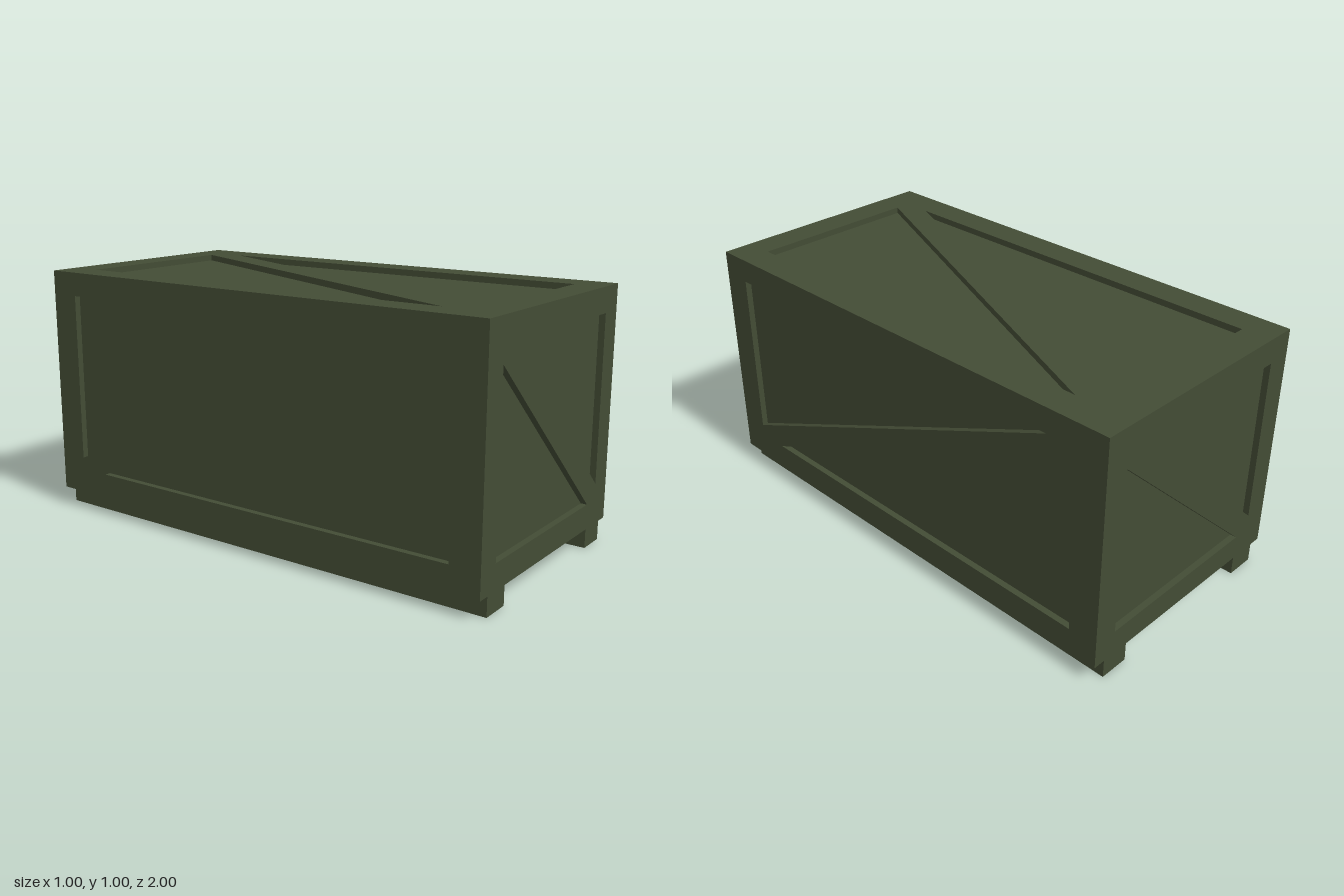
import * as THREE from 'three';

const DEPTH = 0.025; // how far the panels are recessed
const BASE = 0.075; // underside of the crate body

export function createModel() {
  const crate = new THREE.Group();
  crate.name = 'crate';
  const paint = new THREE.MeshStandardMaterial({ color: 0x434c35, side: THREE.DoubleSide });
  paint.name = 'olivePaint';

  const points = (list) => list.map(([x, y]) => new THREE.Vector2(x, y));

  // A rectangular frame with a diagonal brace, cut by two triangular openings
  function bracedFrame(name, x, bottom, top, openings) {
    const shape = new THREE.Shape(points([[-x, bottom], [x, bottom], [x, top], [-x, top]]));
    shape.holes = openings.map((o) => new THREE.Path(points(o)));
    const geometry = new THREE.ExtrudeGeometry(shape, { depth: DEPTH, bevelEnabled: false });
    const mesh = new THREE.Mesh(geometry, paint);
    mesh.name = name;
    crate.add(mesh);
    return mesh;
  }

  // Inner box that shows through the openings
  const height = 1 - DEPTH - BASE;
  const core = new THREE.Mesh(new THREE.BoxGeometry(1 - 2 * DEPTH, height, 2 - 2 * DEPTH), paint);
  core.name = 'innerBox';
  core.position.y = BASE + height / 2;
  crate.add(core);

  // Lid frame
  const lid = bracedFrame('lidFrame', 0.5, -1, 1, [
    [[-0.38, 0.88], [0.32, 0.88], [-0.38, -0.76]],
    [[0.38, 0.76], [0.38, -0.88], [-0.32, -0.88]],
  ]);
  lid.rotation.x = -Math.PI / 2;
  lid.position.y = 1 - DEPTH;

  // End and side frames, each repeated by a half turn
  for (const turn of [0, 1]) {
    const sign = turn ? -1 : 1;
    const end = bracedFrame(turn ? 'backFrame' : 'frontFrame', 0.5, BASE, 1 - DEPTH, [
      [[-0.33, 0.9], [0.4, 0.9], [0.4, 0.24]],
      [[-0.4, 0.84], [-0.4, 0.175], [0.33, 0.175]],
    ]);
    end.rotation.y = turn * Math.PI;
    end.position.z = sign * (1 - DEPTH);

    const side = bracedFrame(turn ? 'rightFrame' : 'leftFrame', 1 - DEPTH, BASE, 1 - DEPTH, [
      [[-0.88, 0.905], [0.75, 0.905], [-0.88, 0.225]],
      [[0.88, 0.85], [0.88, 0.175], [-0.75, 0.175]],
    ]);
    side.rotation.y = Math.PI / 2 + turn * Math.PI;
    side.position.x = sign * (0.5 - DEPTH);

    // Hollow runner, without its top and bottom faces
    const geometry = new THREE.BoxGeometry(0.12, BASE, 2);
    const index = Array.from(geometry.index.array);
    index.splice(12, 12);
    geometry.setIndex(index);
    geometry.clearGroups();
    const runner = new THREE.Mesh(geometry, paint);
    runner.name = turn ? 'rightRunner' : 'leftRunner';
    runner.position.set(sign * 0.39, BASE / 2, 0);
    crate.add(runner);
  }
  return crate;
}
